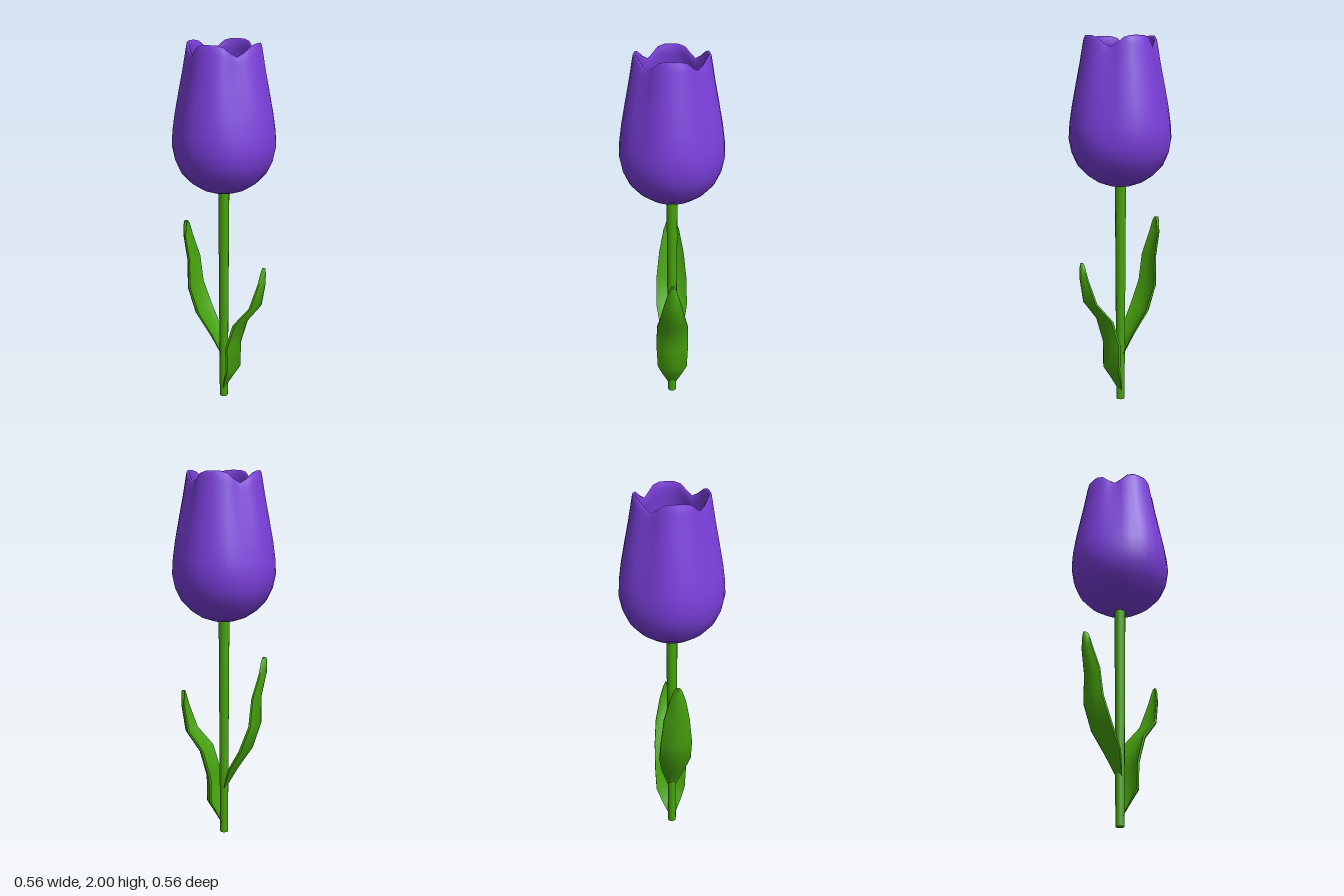
import * as THREE from 'three';
import { mergeVertices, toCreasedNormals } from 'three/addons/utils/BufferGeometryUtils.js';

const purple = new THREE.MeshStandardMaterial({ color: 0x7b3fdc });
const green = new THREE.MeshStandardMaterial({ color: 0x47a30e });
const yellow = new THREE.MeshStandardMaterial({ color: 0xdcb43c });

function addMesh(group, name, geometry, material) {
  const mesh = new THREE.Mesh(geometry, material);
  mesh.name = name;
  group.add(mesh);
  return mesh;
}

// Double-walled cup, pinched and notched on the diagonals into four petals
function bloomGeometry() {
  const profile = [
    // outside, going up
    [0, 1.2], [0.06, 1.206], [0.12, 1.226], [0.18, 1.265], [0.23, 1.318], [0.262, 1.385],
    [0.278, 1.46], [0.274, 1.54], [0.262, 1.63], [0.24, 1.75], [0.219, 1.86], [0.204, 1.95], [0.197, 1.99],
    // rounded rim
    [0.19, 2.0], [0.181, 1.99],
    // inside, going down
    [0.182, 1.95], [0.197, 1.86], [0.218, 1.75], [0.24, 1.63], [0.254, 1.5],
    [0.238, 1.39], [0.18, 1.3], [0.1, 1.25], [0, 1.24],
  ].map(([r, y]) => new THREE.Vector2(r, y));
  const geo = new THREE.LatheGeometry(profile, 32);
  const pos = geo.attributes.position;
  for (let i = 0; i < pos.count; i++) {
    const x = pos.getX(i), y = pos.getY(i), z = pos.getZ(i);
    const notch = Math.pow(Math.abs(Math.sin(2 * Math.atan2(x, z))), 5);
    const pinch = 1 - 0.085 * notch * THREE.MathUtils.smoothstep(y, 1.25, 1.75);
    const drop = 0.06 * notch * THREE.MathUtils.smoothstep(y, 1.7, 2.0);
    pos.setXYZ(i, x * pinch, y - drop, z * pinch);
  }
  geo.deleteAttribute('uv');
  geo.deleteAttribute('normal');
  const merged = mergeVertices(geo, 1e-4);
  merged.computeVertexNormals();
  return merged;
}

// Cupped leaf lofted through rows of [outer x, inner x, y, half width]
function leafGeometry(rows, side) {
  const steps = 6, n = 2 * (steps + 1);
  const points = [], index = [];
  rows.forEach(([outer, inner, y, w]) => {
    for (let k = 0; k < n; k++) {
      const back = k > steps;
      const s = (back ? n - 1 - k : k) / steps * 2 - 1;
      const f = back ? 0.45 + 0.55 * s * s : 0.75 * s * s;
      points.push(side * THREE.MathUtils.lerp(outer, inner, f), y, side * s * w);
    }
  });
  for (let r = 0; r < rows.length - 1; r++) {
    for (let k = 0; k < n; k++) {
      const a = r * n + k, b = r * n + (k + 1) % n;
      index.push(a, a + n, b, b, a + n, b + n);
    }
  }
  // end caps
  const top = (rows.length - 1) * n;
  for (let k = 1; k < n - 1; k++) {
    index.push(0, k, k + 1, top, top + k + 1, top + k);
  }
  const geo = new THREE.BufferGeometry();
  geo.setAttribute('position', new THREE.Float32BufferAttribute(points, 3));
  geo.setIndex(index);
  return toCreasedNormals(geo, 0.75);
}

export function createModel() {
  const model = new THREE.Group();
  model.name = 'tulip';

  addMesh(model, 'bloom', bloomGeometry(), purple);

  // Flower centre, slightly off axis
  addMesh(model, 'flowerCentre', new THREE.SphereGeometry(0.131, 32, 20), yellow)
    .position.set(-0.015, 1.4, -0.014);

  // Stem, a little wider at the top
  addMesh(model, 'stem', new THREE.CylinderGeometry(0.03, 0.023, 1.22, 12), green)
    .position.set(-0.001, 0.61, 0);

  addMesh(model, 'lowerLeaf', leafGeometry([
    [0.012, 0.002, 0.055, 0.025],
    [0.05, 0.022, 0.12, 0.055],
    [0.095, 0.045, 0.19, 0.083],
    [0.095, 0.045, 0.33, 0.09],
    [0.138, 0.088, 0.475, 0.086],
    [0.22, 0.175, 0.58, 0.068],
    [0.244, 0.212, 0.71, 0.038],
    [0.246, 0.222, 0.775, 0.018],
    [0.244, 0.226, 0.8, 0.006],
  ], 1), green);

  addMesh(model, 'upperLeaf', leafGeometry([
    [0.014, 0.004, 0.26, 0.025],
    [0.082, 0.04, 0.38, 0.065],
    [0.165, 0.11, 0.505, 0.088],
    [0.21, 0.163, 0.645, 0.086],
    [0.211, 0.175, 0.8, 0.07],
    [0.24, 0.208, 0.93, 0.044],
    [0.242, 0.214, 0.99, 0.024],
    [0.24, 0.218, 1.015, 0.01],
  ], -1), green);

  return model;
}
